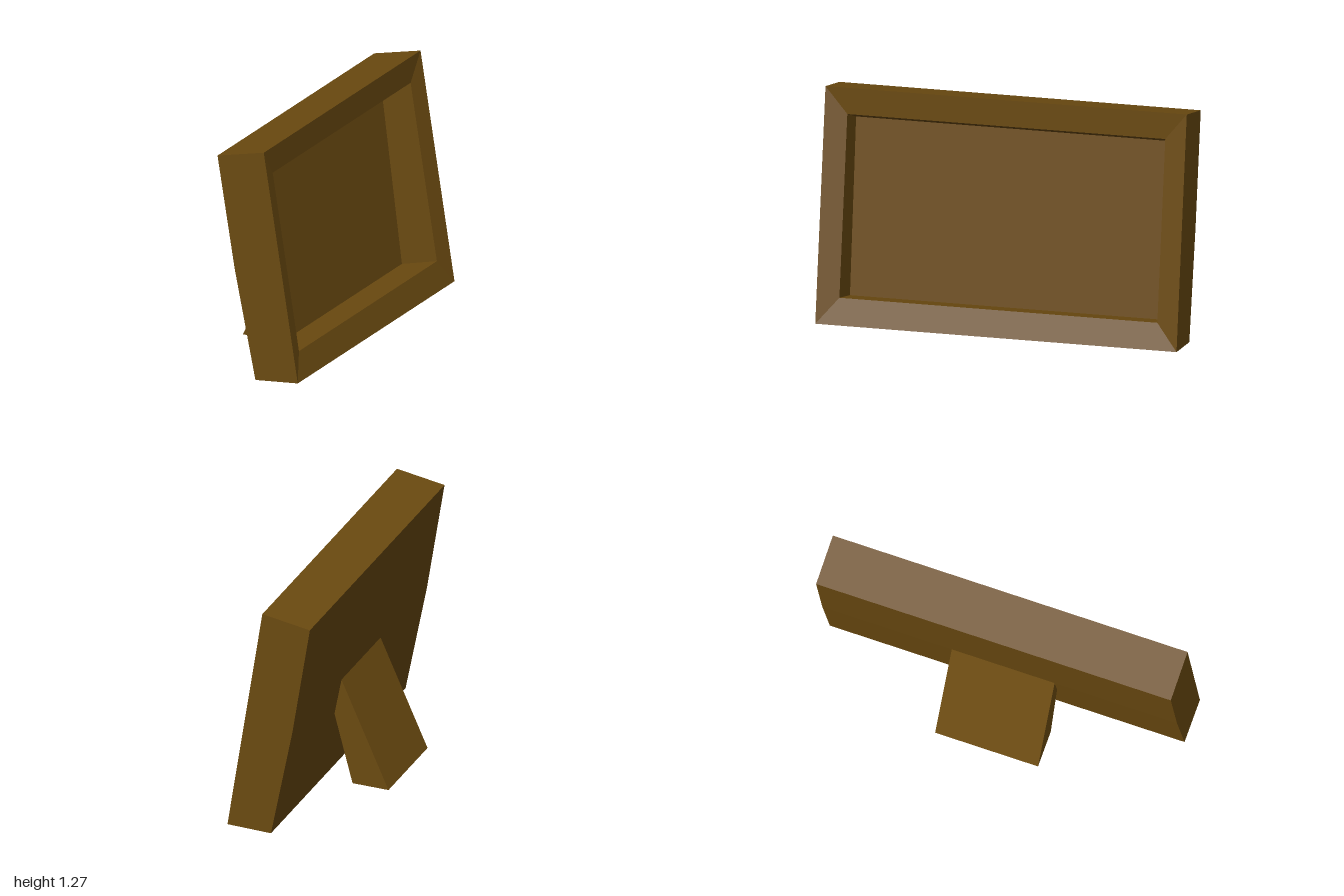
import * as THREE from 'three';

// Six-corner ring (top, middle, bottom on each side); middle defaults to the midpoint.
function ring(top, bottom, halfWidth, middle) {
  const mid = middle || [(top[0] + bottom[0]) / 2, (top[1] + bottom[1]) / 2];
  const left = [top, mid, bottom].map(([x, y]) => [x, y, halfWidth]);
  const right = [bottom, mid, top].map(([x, y]) => [x, y, -halfWidth]);
  return [...left, ...right];
}

// Flat-faced geometry from a list of four-cornered faces.
function facesGeometry(quads) {
  const positions = [];
  for (const [a, b, c, d] of quads) positions.push(...a, ...b, ...c, ...a, ...c, ...d);
  const geometry = new THREE.BufferGeometry();
  geometry.setAttribute('position', new THREE.Float32BufferAttribute(positions, 3));
  geometry.computeVertexNormals();
  return geometry;
}

// Band of faces joining two rings.
function band(a, b) {
  return a.map((p, i) => {
    const j = (i + 1) % a.length;
    return [p, a[j], b[j], b[i]];
  });
}

// Two faces filling a ring, facing +x.
function cap(r) {
  return [[r[0], r[1], r[4], r[5]], [r[1], r[2], r[3], r[4]]];
}

export function createModel() {
  const group = new THREE.Group();
  const wood = new THREE.MeshStandardMaterial({ color: 0x6b4a10 });
  wood.name = 'brownWood';
  wood.flatShading = true;

  const add = (name, geometry) => {
    const mesh = new THREE.Mesh(geometry, wood);
    mesh.name = name;
    group.add(mesh);
    return mesh;
  };

  // Cross-sections from the bent back to the recessed panel
  const back = ring([-0.152, 1.225], [0.07, 0.002], 1, [-0.052, 0.61]);
  const front = ring([0.119, 1.276], [0.318, 0.015], 1);
  const lip = ring([0.116, 1.13], [0.27, 0.155], 0.88);
  const inner = ring([-0.054, 1.07], [0.065, 0.113], 0.88);

  // Leaning frame: back, outer sides, dished rim and recess walls
  add('frameBack', facesGeometry(cap(back).map((q) => q.slice().reverse())));
  add('frameSides', facesGeometry(band(back, front)));
  add('frontRim', facesGeometry(band(front, lip)));
  add('recessWalls', facesGeometry(band(lip, inner)));
  add('picturePanel', facesGeometry(cap(inner)));

  // Wedge-shaped rear stand
  const profile = new THREE.Shape(
    [[-0.052, 0.61], [-0.32, 0.008], [-0.115, 0.015], [-0.012, 0.405]]
      .map(([x, y]) => new THREE.Vector2(x, y))
  );
  const stand = add('rearStand', new THREE.ExtrudeGeometry(profile, { depth: 0.58, bevelEnabled: false }));
  stand.position.z = -0.27;

  return group;
}
